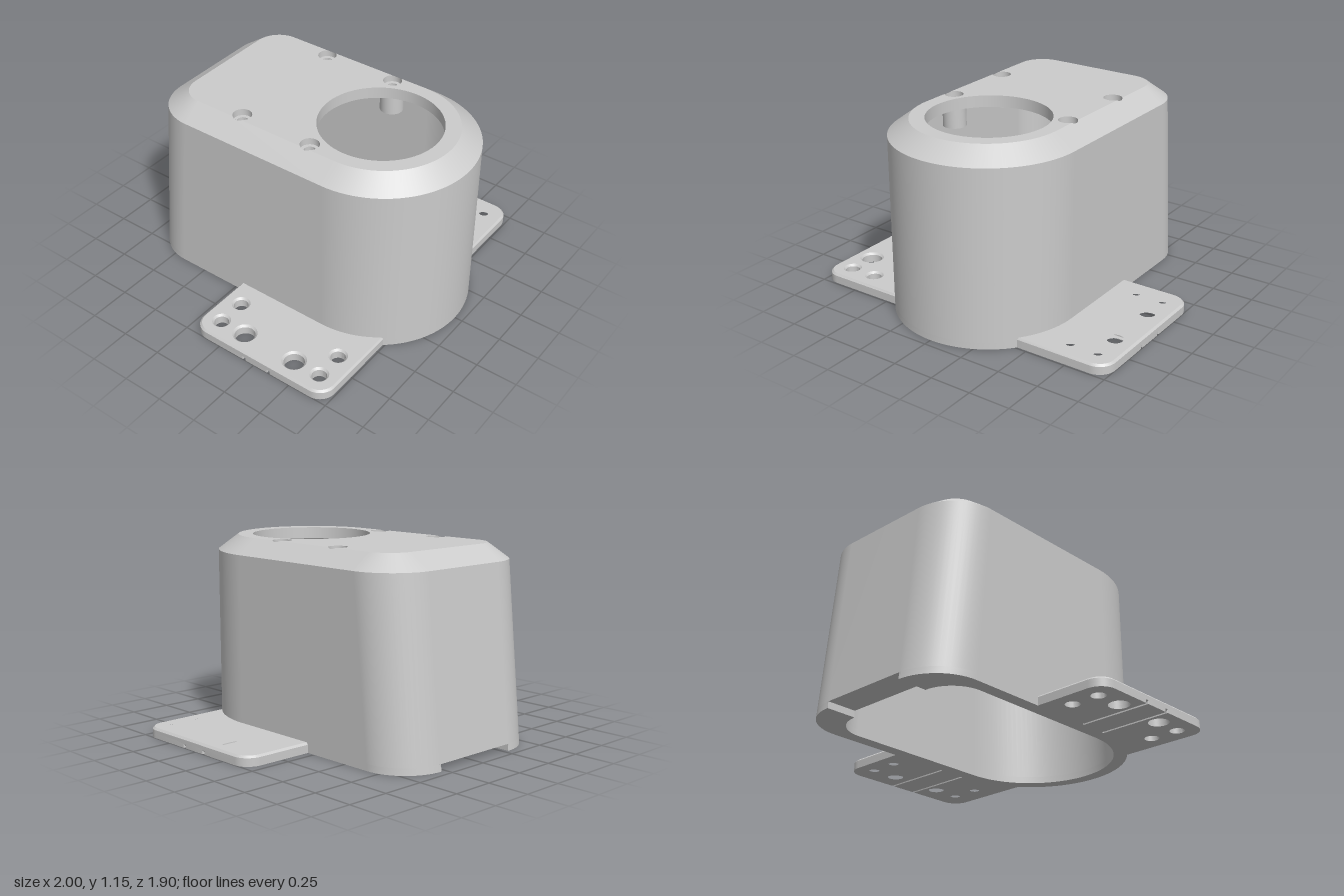
import * as THREE from 'three';
import { toCreasedNormals } from 'three/addons/utils/BufferGeometryUtils.js';

const N = 48, M = 14;                         // segments of the front arc and of each back corner
const FRONT_Z = 0.39, TOP = 1.15, SHOULDER = 1.06, CEILING = 1.08, NOTCH = 0.04;
const SCREW_X = 0.395, SCREW_R = 0.055, SCREW_Z = [-0.275, 0.195];
const SIDE_A = N, BACK = N + 1 + M, SIDE_B = N + 2 + 2 * M;   // straight segments of a ring

const material = new THREE.MeshStandardMaterial({ color: 0xcccccc });
const openMaterial = new THREE.MeshStandardMaterial({ color: 0xcccccc, side: THREE.DoubleSide });

// points [x, z] on an arc
function arc(cx, cz, r, a0, a1, n) {
  return Array.from({ length: n + 1 }, (_, i) => {
    const a = a0 + (a1 - a0) * i / n;
    return [cx + r * Math.cos(a), cz + r * Math.sin(a)];
  });
}

// plan outline: half round at the front, two rounded corners at the back
function ring(hw, back, r) {
  const P = Math.PI;
  return [
    ...arc(0, FRONT_Z, hw, 0, P, N),
    ...arc(-hw + r, back + r, r, P, 1.5 * P, M),
    ...arc(hw - r, back + r, r, 1.5 * P, 2 * P, M),
  ];
}

// strip of faces between two rings
function band(a, ya, b, yb, { flip = false, keep = () => true } = {}) {
  const pos = [], idx = [], n = a.length;
  a.forEach(([x, z]) => pos.push(x, ya, z));
  b.forEach(([x, z]) => pos.push(x, yb, z));
  for (let i = 0; i < n; i++) {
    if (!keep(i)) continue;
    const j = (i + 1) % n;
    if (flip) idx.push(i, j, n + i, j, n + j, n + i);
    else idx.push(i, n + i, j, j, n + i, n + j);
  }
  const g = new THREE.BufferGeometry();
  g.setAttribute('position', new THREE.Float32BufferAttribute(pos, 3));
  g.setIndex(idx);
  g.computeVertexNormals();
  return g;
}

function planShape(points, holes = []) {
  const toV = (p) => p.map(([x, z]) => new THREE.Vector2(x, -z));
  const s = new THREE.Shape(toV(points));
  s.holes = holes.map((h) => new THREE.Path(toV(h)));
  return s;
}

function flat(points, holes, y) {
  return new THREE.ShapeGeometry(planShape(points, holes)).rotateX(-Math.PI / 2).translate(0, y, 0);
}

const circle = (x, z, r, n = 28) => arc(x, z, r, 0, 2 * Math.PI, n).slice(0, n);

export function createModel() {
  const model = new THREE.Group();
  const add = (name, geometry, mat = material, parent = model) => {
    const m = new THREE.Mesh(geometry, mat);
    m.name = name;
    parent.add(m);
    return m;
  };

  const foot = ring(0.56, -0.95, 0.28);
  const aboveNotch = ring(0.56, -0.946, 0.28);
  const shoulder = ring(0.56, -0.845, 0.28);
  const crown = ring(0.44, -0.715, 0.15);
  const inner = ring(0.48, -0.76, 0.2);
  const innerTop = ring(0.45, -0.72, 0.17);
  const notBack = { keep: (i) => i !== BACK };

  // housing walls, with a cable notch at the bottom of the back
  add('outerWall', band(aboveNotch, NOTCH, shoulder, SHOULDER));
  add('outerSkirt', band(foot, 0, aboveNotch, NOTCH, notBack));
  add('innerWall', band(inner, NOTCH, inner, 1.03, { flip: true }));
  add('innerSkirt', band(inner, 0, inner, NOTCH, { flip: true, ...notBack }));
  add('innerShoulder', band(inner, 1.03, innerTop, CEILING, { flip: true }));
  add('bottomRim', band(inner, 0, foot, 0, notBack));
  add('notchRoof', band(inner, NOTCH, aboveNotch, NOTCH, { keep: (i) => i === BACK }));
  for (const s of [1, -1]) {
    add('notchSide', new THREE.BoxGeometry(0.01, NOTCH, 0.186).translate(s * 0.285, NOTCH / 2, -0.854));
  }

  // top edge bevel; its straight sides are cut by the screw recesses
  add('topBevel', band(shoulder, SHOULDER, crown, TOP, { keep: (i) => i !== SIDE_A && i !== SIDE_B }));
  const bevelY = (x) => TOP - Math.max(0, Math.abs(x) - 0.44) * 0.75;
  const cut = Math.acos((0.44 - SCREW_X) / SCREW_R);
  const mirror = (pts, s) => pts.map(([x, z]) => [s * x, z]);
  for (const s of [1, -1]) {
    const strip = [[0.44, 0.39], [0.56, 0.39], [0.56, -0.565], [0.44, -0.565],
      ...SCREW_Z.flatMap((z) => arc(SCREW_X, z, SCREW_R, -cut, cut, 8))];
    const g = flat(mirror(strip, s), [], 0);
    const p = g.attributes.position;
    for (let i = 0; i < p.count; i++) p.setY(i, bevelY(p.getX(i)));
    g.computeVertexNormals();
    add('sideBevel', g);
  }

  // top face with the big opening
  const bites = SCREW_Z.flatMap((z) => arc(SCREW_X, z, SCREW_R, 2 * Math.PI - cut, cut, 24));
  const topOutline = [
    ...crown.slice(0, N + 1), ...mirror(bites, -1).reverse(), ...crown.slice(N + 1), ...bites,
  ];
  const opening = circle(0, 0.385, 0.355, 72);
  add('topFace', flat(topOutline, [opening], TOP));
  add('openingWall', new THREE.CylinderGeometry(0.355, 0.355, TOP - CEILING, 72, 1, true)
    .translate(0, (TOP + CEILING) / 2, 0.385), openMaterial);

  // ceiling and screw bosses
  const bores = [1, -1].flatMap((s) => SCREW_Z.map((z) => circle(s * SCREW_X, z, 0.033)));
  add('ceiling', flat(innerTop, [opening, ...bores], CEILING), openMaterial);
  const bossProfile = [[SCREW_R, TOP], [SCREW_R, 1.11], [0.033, 1.11], [0.033, 0.96], [0.07, 0.96], [0.07, CEILING]]
    .map(([r, y]) => new THREE.Vector2(r, y));
  for (const s of [1, -1]) {
    for (const z of SCREW_Z) {
      const g = new THREE.LatheGeometry(bossProfile, 32).translate(s * SCREW_X, 0, z);
      const p = g.attributes.position;
      for (let i = 0; i < p.count; i++) p.setY(i, Math.min(p.getY(i), bevelY(p.getX(i))));
      add('screwBoss', toCreasedNormals(g, 0.7), openMaterial);
    }
  }

  // mounting flanges: bevelled plate over three pads parted by grooves
  const Z0 = -0.2, Z1 = 0.74;
  const holeList = [[0.88, -0.085, 0.043], [0.705, -0.085, 0.043], [0.88, 0.09, 0.06],
    [0.88, 0.445, 0.06], [0.88, 0.62, 0.043], [0.705, 0.62, 0.043]];
  const slab = (s, z0, z1, options) => {
    const r0 = z0 === Z0 ? 0.1 : 0.004, r1 = z1 === Z1 ? 0.1 : 0.004;
    const innerEdge = Array.from({ length: 17 }, (_, i) => {
      const z = z1 + (z0 - z1) * i / 16, d = Math.max(0, z - FRONT_Z);
      return [Math.sqrt(0.53 ** 2 - d * d), z];
    });
    const outline = [...innerEdge,
      ...arc(1 - r0, z0 + r0, r0, -Math.PI / 2, 0, 10),
      ...arc(1 - r1, z1 - r1, r1, 0, Math.PI / 2, 10)];
    const holes = holeList.filter(([, z]) => z > z0 && z < z1)
      .map(([x, z, r]) => mirror(circle(x, z, r), s));
    const g = new THREE.ExtrudeGeometry(planShape(mirror(outline, s), holes), options);
    return g.rotateX(-Math.PI / 2);
  };
  for (const s of [1, -1]) {
    const flange = new THREE.Group();
    flange.name = s > 0 ? 'leftFlange' : 'rightFlange';
    model.add(flange);
    const plate = slab(s, Z0, Z1, {
      depth: 0.026, bevelEnabled: true, bevelThickness: 0.012, bevelSize: 0.012, bevelOffset: -0.012, bevelSegments: 1,
    }).translate(0, 0.022, 0);
    add('flangePlate', toCreasedNormals(plate, 0.5), material, flange);
    for (const [a, b] of [[Z0, 0.172], [0.188, 0.347], [0.363, Z1]]) {
      const pad = slab(s, a, b, { depth: 0.03, bevelEnabled: false });
      add('flangePad', toCreasedNormals(pad, 0.5), material, flange);
    }
  }
  return model;
}
